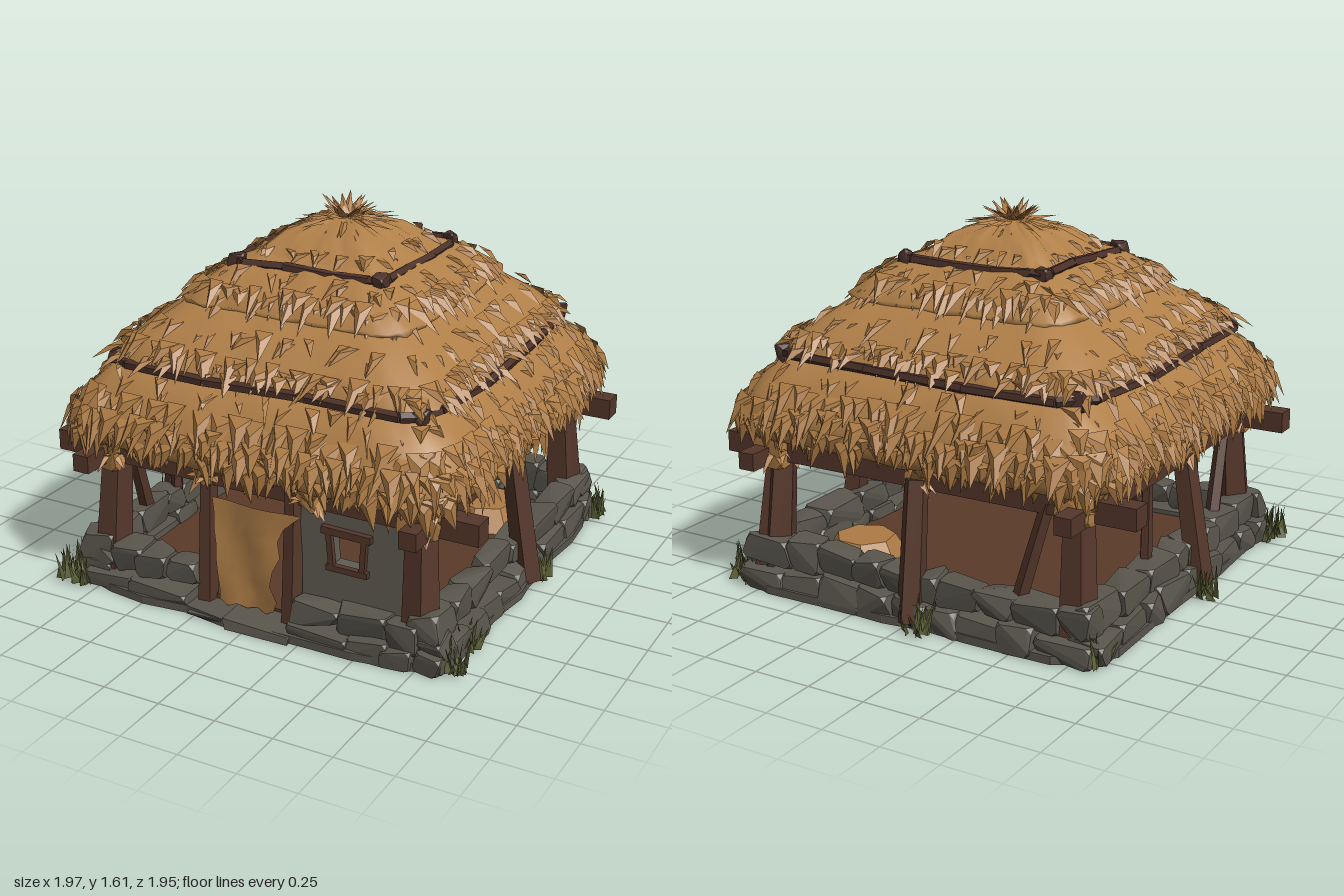
import * as THREE from 'three';
import { mergeGeometries } from 'three/addons/utils/BufferGeometryUtils.js';
import { ConvexGeometry } from 'three/addons/geometries/ConvexGeometry.js';

const V = (x, y, z) => new THREE.Vector3(x, y, z);

export function createModel() {
  const group = new THREE.Group();
  let seed = 7;
  const rnd = (a = 0, b = 1) => {
    seed = (seed * 16807) % 2147483647;
    return a + (b - a) * (seed / 2147483647);
  };
  const mat = (name, color, extra = {}) => {
    const m = new THREE.MeshStandardMaterial({ color, flatShading: true, ...extra });
    m.name = name;
    return m;
  };
  const both = { side: THREE.DoubleSide };
  const thatch = mat('thatch', 0xb07f48, { ...both, flatShading: false });
  const straw = mat('straw', 0xae7c45, both);
  const wood = mat('wood', 0x55372b);
  const rope = mat('dark wood', 0x4a3028);
  const stone = mat('stone', 0x5a564d);
  const plaster = mat('plaster', 0x605d53, both);
  const grass = mat('grass', 0x5f6338, both);
  const earth = mat('earth', 0x5a3a29);

  const add = (name, geo, material) => {
    const m = new THREE.Mesh(geo, material);
    m.name = name;
    group.add(m);
    return m;
  };

  // Pointed blade with a raised middle ridge
  const blade = (out, p, dir, side, lift) => {
    const l = p.clone().sub(side), r = p.clone().add(side), tip = p.clone().add(dir);
    const c = p.clone().addScaledVector(dir, 0.35).add(lift);
    for (const q of [l, c, tip, c, r, tip, l, r, c]) out.push(q.x, q.y, q.z);
  };
  const bladeMesh = (name, out, material) => {
    const g = new THREE.BufferGeometry();
    g.setAttribute('position', new THREE.Float32BufferAttribute(out, 3));
    g.computeVertexNormals();
    return add(name, g, material);
  };

  // Point on a rounded square, u = 0..1 around; a higher power gives sharper corners
  const ring = (u, r, y, power = 9) => {
    const k = ((u % 1) + 1) % 1 * 4, s = Math.floor(k), f = (k - s) * 2 - 1;
    const [a, b] = [[1, f], [-f, 1], [-1, -f], [f, -1]][s];
    const n = Math.pow(Math.abs(a) ** power + Math.abs(b) ** power, -1 / power);
    return V(a * n * r, y, b * n * r);
  };

  // Roof tiers as lofted rounded squares
  const N = 64;
  const loft = (profile, wobble) => {
    const pos = [], idx = [];
    profile.forEach(([r, y], j) => {
      for (let i = 0; i < N; i++) {
        const w = j ? wobble : 0;
        const p = ring(i / N, r + rnd(-w, w), y + rnd(-w, w));
        pos.push(p.x, p.y, p.z);
        if (j < profile.length - 1) {
          const a = j * N + i, b = j * N + (i + 1) % N;
          idx.push(a, b, a + N, b, b + N, a + N);
        }
      }
    });
    const g = new THREE.BufferGeometry();
    g.setAttribute('position', new THREE.Float32BufferAttribute(pos, 3));
    g.setIndex(idx);
    g.computeVertexNormals();
    return g;
  };
  const tiers = [
    [[0.6, 1.07], [0.75, 1.0], [0.83, 0.91], [0.885, 0.82], [0.905, 0.74], [0.87, 0.68], [0.66, 0.665]],
    [[0.4, 1.28], [0.54, 1.22], [0.68, 1.11], [0.76, 1.03], [0.74, 1.0]],
    [[0.26, 1.42], [0.35, 1.385], [0.46, 1.31], [0.54, 1.25], [0.52, 1.22]],
    [[0.001, 1.535], [0.1, 1.52], [0.2, 1.485], [0.27, 1.43], [0.325, 1.38]],
  ];
  tiers.forEach((t, i) => add('roofTier' + (i + 1), loft(t, 0.008), thatch));
  add('ceiling', new THREE.BoxGeometry(1.36, 0.02, 1.36).translate(0, 0.66, 0), plaster);

  // Straw fringes: radius, height, outward, drop, count, half width
  const fringe = [];
  for (const [r, y, o, d, count, w] of [
    [0.885, 0.84, 0.06, 0.13, 170, 0.05], [0.905, 0.77, 0.005, 0.125, 180, 0.048],
    [0.86, 0.71, -0.02, 0.075, 130, 0.04], [0.8, 0.69, -0.03, 0.06, 90, 0.035],
    [0.835, 0.91, 0.09, 0.15, 130, 0.05], [0.775, 0.98, 0.07, 0.1, 60, 0.035],
    [0.7, 1.1, 0.085, 0.09, 160, 0.045], [0.735, 1.06, 0.085, 0.055, 60, 0.04], [0.6, 1.18, 0.1, 0.08, 60, 0.04],
    [0.46, 1.32, 0.105, 0.095, 120, 0.046], [0.39, 1.365, 0.08, 0.06, 40, 0.03],
    [0.26, 1.44, 0.07, 0.055, 36, 0.03],
  ]) {
    for (let i = 0; i < count; i++) {
      const u = (i + rnd(-0.7, 0.7)) / count, k = rnd(0.5, 1.3);
      const p = ring(u, r, y + rnd(-0.025, 0.025));
      const t = ring(u + 0.004, r, 0).sub(ring(u - 0.004, r, 0)).normalize();
      const out = V(t.z, 0, -t.x);
      const dir = out.clone().multiplyScalar(o * k + rnd(-0.01, 0.02)).addScaledVector(t, rnd(-0.05, 0.05));
      dir.y = -d * k;
      blade(fringe, p, dir, t.multiplyScalar(w * rnd(0.5, 1.2)), out.multiplyScalar(0.018).setY(0.01));
    }
  }
  bladeMesh('roofFringe', fringe, straw);

  // Tuft on the peak
  const tuft = [];
  for (let i = 0; i < 52; i++) {
    const a = i * 2.4, flat = i % 2, len = flat ? rnd(0.14, 0.24) : rnd(0.06, 0.14);
    const dir = V(Math.cos(a) * len, flat ? rnd(-0.035, 0.01) : rnd(0.04, 0.09), Math.sin(a) * len);
    const root = V(Math.cos(a) * 0.02, 1.522, Math.sin(a) * 0.02);
    blade(tuft, root, dir, V(-Math.sin(a), 0, Math.cos(a)).multiplyScalar(0.03), V(0, 0.012, 0));
  }
  bladeMesh('peakTuft', tuft, straw);

  // Rough timber between two points; squared gives a four-sided beam
  const timber = (a, b, r1, r2 = r1, sides = 5, turn = rnd(0, 1)) => {
    const d = b.clone().sub(a);
    const g = new THREE.CylinderGeometry(r2, r1, d.length(), sides).rotateY(turn);
    g.applyQuaternion(new THREE.Quaternion().setFromUnitVectors(V(0, 1, 0), d.normalize()));
    return g.translate((a.x + b.x) / 2, (a.y + b.y) / 2, (a.z + b.z) / 2);
  };
  const squared = (a, b, w) => timber(a, b, w, w, 4, Math.PI / 4);

  // Chamfered irregular block
  const block = (x, y, z, w, h, d, jit = 0.012) => {
    const pts = [];
    for (const sx of [-1, 1]) for (const sy of [-1, 1]) for (const sz of [-1, 1]) {
      const q = V(x + sx * w / 2 + rnd(-jit, jit), y + sy * h / 2 + rnd(-jit, jit), z + sz * d / 2 + rnd(-jit, jit));
      const c = Math.min(w, h, d) * 0.2;
      pts.push(q.clone().add(V(-sx * c, 0, 0)), q.clone().add(V(0, -sy * c, 0)), q.clone().add(V(0, 0, -sz * c)));
    }
    pts.forEach(p => { p.y = Math.max(p.y, 0); });
    return new ConvexGeometry(pts);
  };
  const merge = gs => mergeGeometries(gs.map(g => {
    const n = g.index ? g.toNonIndexed() : g;
    n.deleteAttribute('uv');
    return n;
  }));

  // Binding poles around the roof
  const poles = [];
  for (const [r, y, t, power] of [[0.338, 1.385, 0.023, 30], [0.768, 1.013, 0.022, 7]]) {
    for (let i = 0; i < 4; i++) {
      const pts = [0, 0.08, 0.35, 0.65, 0.92, 1].map(f =>
        ring((i + f) / 4, r + (f % 1 ? rnd(-0.008, 0.012) : 0), y + (f % 1 ? rnd(-0.012, 0.012) : 0), power));
      for (let k = 0; k < 5; k++) poles.push(timber(pts[k], pts[k + 1], t));
      poles.push(block(pts[5].x, y, pts[5].z, 0.05, 0.055, 0.05));
    }
  }
  add('roofBindingPoles', merge(poles), rope);

  // Posts and braces
  const posts = [];
  for (const sx of [-1, 1]) for (const sz of [-1, 1])
    posts.push(timber(V(sx * 0.735, 0.02, sz * 0.755), V(sx * 0.71, 0.62, sz * 0.71), 0.085, 0.065));
  for (const [a, b, r] of [
    [[0.86, 0.02, -0.05], [0.77, 0.6, -0.04], 0.062], [[-0.86, 0.02, 0.1], [-0.77, 0.6, 0.09], 0.062],
    [[-0.02, 0.02, -0.85], [0, 0.6, -0.76], 0.06], [[-0.75, 0.1, 0.22], [-0.75, 0.6, 0.23], 0.03],
    [[-0.75, 0.1, -0.2], [-0.75, 0.6, -0.2], 0.028], [[-0.25, 0.02, 0.76], [-0.24, 0.6, 0.74], 0.045],
    [[0.165, 0.02, 0.78], [0.16, 0.6, 0.74], 0.045], [[-0.47, 0.15, -0.76], [-0.59, 0.6, -0.73], 0.035],
    [[-0.76, 0.15, 0.43], [-0.74, 0.6, 0.58], 0.035], [[0.77, 0.02, -0.79], [0.73, 0.6, -0.72], 0.06],
  ]) posts.push(timber(V(...a), V(...b), r, r * 0.85));
  add('posts', merge(posts), wood);

  // Ring beams with crossing ends
  const beams = [];
  for (const s of [-1, 1]) {
    beams.push(squared(V(-0.98, 0.605, s * 0.71), V(0.97, 0.6, s * 0.71), 0.064));
    beams.push(squared(V(s * 0.75, 0.585, -0.91), V(s * 0.75, 0.6, 0.92), 0.053));
  }
  add('beams', merge(beams), wood);

  // Straw lashings on the joints
  const lash = [], wisps = [];
  const joints = [[-0.24, 0.75], [0.24, 0.75], [0, -0.74], [0.77, -0.04], [-0.77, 0.1]];
  for (const sx of [-1, 1]) for (const sz of [-1, 1]) joints.push([sx * 0.73, sz * 0.73]);
  joints.forEach(([x, z], i) => {
    const s = i > 4 ? 0.14 : 0.075;
    lash.push(block(x, 0.6, z, s, s * 0.85, s, 0.015));
    for (let k = 0; k < 12; k++) {
      const a = rnd(0, 6.28), c = Math.cos(a), n = Math.sin(a);
      blade(wisps, V(x + c * s * 0.5, 0.6, z + n * s * 0.5), V(c * 0.06, rnd(-0.08, 0.07), n * 0.06), V(-n * 0.03, 0, c * 0.03), V(0, 0.01, 0));
    }
  });
  add('lashings', merge(lash), straw);
  bladeMesh('lashingWisps', wisps, straw);

  // Foundation slab with uneven rim, earth floor and straw heap
  const rim = [];
  for (let i = 0; i < 36; i++) {
    const p = ring(i / 36, 0.88 + rnd(-0.015, 0.015), 0);
    rim.push(new THREE.Vector2(p.x, p.z));
  }
  const slab = new THREE.ExtrudeGeometry(new THREE.Shape(rim), { depth: 0.035, bevelEnabled: false });
  add('foundation', slab.rotateX(Math.PI / 2).translate(0, 0.036, 0), stone);
  add('floor', new THREE.BoxGeometry(1.5, 0.03, 1.5).translate(0, 0.045, 0), earth);
  add('strawHeap', new THREE.CylinderGeometry(0.13, 0.19, 0.1, 7).translate(0.49, 0.11, -0.44), straw);
  add('undersidePatch', new THREE.CylinderGeometry(0.09, 0.09, 0.006, 6).scale(1.1, 1, 0.8).translate(-0.63, 0.003, 0.63), straw);

  // Stone walls: along a side from one end to the other, in courses
  const stones = [];
  const wall = (from, to, fixed, alongX, heights) => {
    let y = 0;
    heights.forEach((h, c) => {
      let p = from;
      while (p < to - 0.03) {
        let w = rnd(0.12, 0.27);
        if (p + w > to - 0.08) w = to - p;
        const m = p + w / 2, d = (c ? 0.12 : 0.16) + rnd(-0.02, 0.02), hh = h + rnd(-0.02, 0.015);
        const f = fixed * (c ? 0.98 : 1);
        stones.push(alongX ? block(m, y + hh / 2, f, w, hh, d, 0.016) : block(f, y + hh / 2, m, d, hh, w, 0.016));
        p += w;
      }
      y += h;
    });
  };
  wall(-0.83, 0.83, -0.79, true, [0.115, 0.11]);
  wall(-0.82, 0.82, 0.79, false, [0.115, 0.11]);
  wall(-0.82, 0.82, -0.79, false, [0.115, 0.11]);
  wall(-0.82, -0.28, 0.78, true, [0.1, 0.1]);
  wall(0.2, 0.86, 0.79, true, [0.08, 0.08]);
  wall(-0.28, 0.2, 0.82, true, [0.04]);
  add('stoneWalls', merge(stones), stone);

  // Plaster panel with window
  const shape = pts => new THREE.Shape(pts.map(p => new THREE.Vector2(...p)));
  const panel = shape([[0.18, 0.08], [0.72, 0.08], [0.7, 0.58], [0.2, 0.58]]);
  panel.holes.push(shape([[0.345, 0.33], [0.335, 0.47], [0.485, 0.47], [0.48, 0.33]]));
  add('plasterPanel', new THREE.ExtrudeGeometry(panel, { depth: 0.06, bevelEnabled: false }).translate(0, 0, 0.69), plaster);
  add('windowFrame', merge([
    squared(V(0.3, 0.485, 0.76), V(0.52, 0.48, 0.76), 0.022),
    squared(V(0.32, 0.322, 0.76), V(0.505, 0.322, 0.76), 0.018),
    squared(V(0.345, 0.32, 0.76), V(0.33, 0.48, 0.76), 0.017),
    squared(V(0.48, 0.32, 0.76), V(0.49, 0.48, 0.76), 0.017),
  ]), wood);

  // Hanging door curtain with folds, torn on one side
  const curtain = new THREE.PlaneGeometry(1, 1, 6, 7);
  const cp = curtain.attributes.position;
  for (let i = 0; i < cp.count; i++) {
    const u = cp.getX(i) + 0.5, v = cp.getY(i) + 0.5;
    const left = -0.17 - 0.035 * v ** 3 + rnd(-0.006, 0.006);
    const right = 0.09 + 0.11 * v ** 4 + 0.02 * Math.sin(v * 14);
    cp.setXYZ(i, left + (right - left) * u, 0.05 + 0.47 * v + (v < 0.01 ? rnd(-0.01, 0.03) : 0), 0.79 + 0.01 * Math.sin(u * 7 + v * 4));
  }
  curtain.computeVertexNormals();
  add('doorCurtain', curtain, thatch);

  // Grass clumps around the base
  const tufts = [];
  for (const [x, z, n, r] of [[-0.86, 0.8, 46, 0.09], [0.88, 0.76, 22, 0.05], [0.84, -0.78, 44, 0.08], [-0.82, -0.8, 14, 0.05], [-0.94, 0.01, 14, 0.035], [-0.08, -0.9, 18, 0.05], [0.9, -0.1, 8, 0.03], [0.88, 0.6, 8, 0.03]]) {
    for (let i = 0; i < n; i++) {
      const a = rnd(0, 6.28), p = V(x + rnd(-r, r), 0.01, z + rnd(-r, r));
      blade(tufts, p, V(rnd(-0.04, 0.04), rnd(0.06, 0.16), rnd(-0.04, 0.04)), V(Math.cos(a), 0, Math.sin(a)).multiplyScalar(0.019), V(0.004, 0, 0.004));
    }
  }
  bladeMesh('grass', tufts, grass);

  return group;
}
